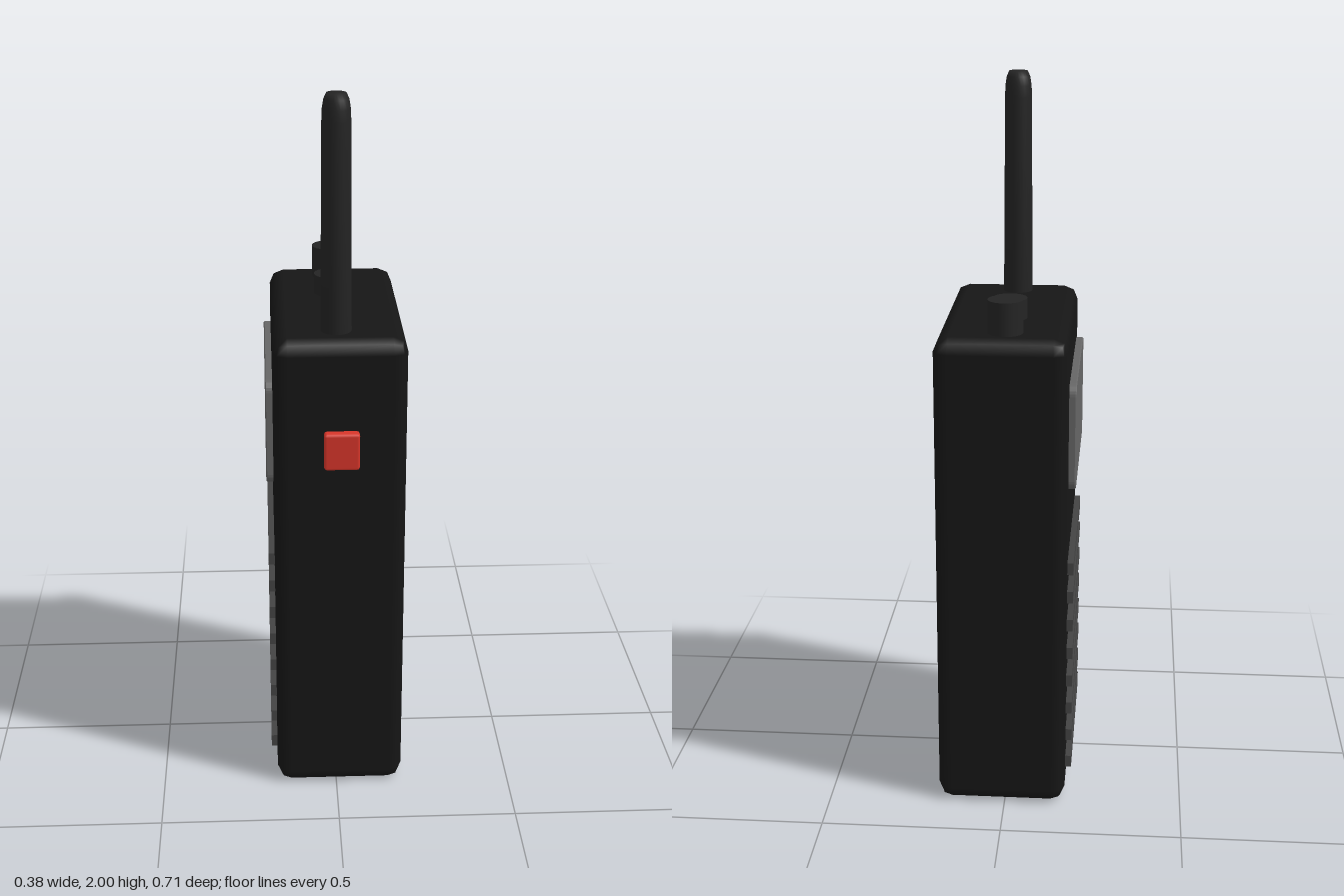
import * as THREE from 'three';
import { RoundedBoxGeometry } from 'three/addons/geometries/RoundedBoxGeometry.js';

const mat = (color) => new THREE.MeshStandardMaterial({ color });

export function createModel() {
  const radio = new THREE.Group();
  radio.name = 'handheldRadio';
  const black = mat(0x161616), dark = mat(0x242424), grey = mat(0x666666);
  const slatGrey = mat(0x444444), red = mat(0xd8362a);

  const add = (name, geometry, material, x, y, z) => {
    const mesh = new THREE.Mesh(geometry, material);
    mesh.name = name;
    mesh.position.set(x, y, z);
    radio.add(mesh);
    return mesh;
  };

  // Case with softened edges
  add('body', new RoundedBoxGeometry(0.36, 1.365, 0.682, 1, 0.04), black, 0.01, 0.687, -0.014);

  // Talk button on the front
  add('talkButton', new RoundedBoxGeometry(0.096, 0.105, 0.06, 1, 0.008), red, 0.013, 1.067, 0.323);

  // Display plate: rounded rectangle on the right side, extruded outward to -x
  const w = 0.265, h = 0.15, r = 0.03;
  const plate = new THREE.Shape();
  plate.moveTo(-w + r, -h);
  plate.absarc(w - r, -h + r, r, -Math.PI / 2, 0);
  plate.absarc(w - r, h - r, r, 0, Math.PI / 2);
  plate.absarc(-w + r, h - r, r, Math.PI / 2, Math.PI);
  plate.absarc(-w + r, -h + r, r, Math.PI, Math.PI * 1.5);
  const plateGeometry = new THREE.ExtrudeGeometry(plate, {
    depth: 0.027, curveSegments: 3,
    bevelSize: 0.003, bevelThickness: 0.003, bevelOffset: -0.003, bevelSegments: 1,
  });
  add('display', plateGeometry, grey, -0.16, 1.08, -0.015).rotation.y = -Math.PI / 2;

  // Speaker grille slats below the display
  for (let i = 0; i < 8; i++) {
    add('grilleSlat', new THREE.BoxGeometry(0.03, 0.035, 0.53), slatGrey, -0.172, 0.103 + i * 0.0856, -0.015);
  }

  // Antenna, slightly tapered with a blunt rounded tip
  const profile = [[0, 1.34], [0.042, 1.34], [0.038, 1.93], [0.037, 1.96], [0.033, 1.985], [0.026, 2], [0, 2]];
  const antenna = new THREE.LatheGeometry(profile.map(([a, b]) => new THREE.Vector2(a, b)), 24);
  add('antenna', antenna, dark, 0.002, 0, 0.225);

  // Two control knobs of different heights
  for (const [name, z, top] of [['volumeKnob', -0.258, 1.46], ['channelKnob', -0.098, 1.425]]) {
    const height = top - 1.34;
    add(name, new THREE.CylinderGeometry(0.048, 0.048, height, 24), dark, 0.002, top - height / 2, z);
  }

  return radio;
}
